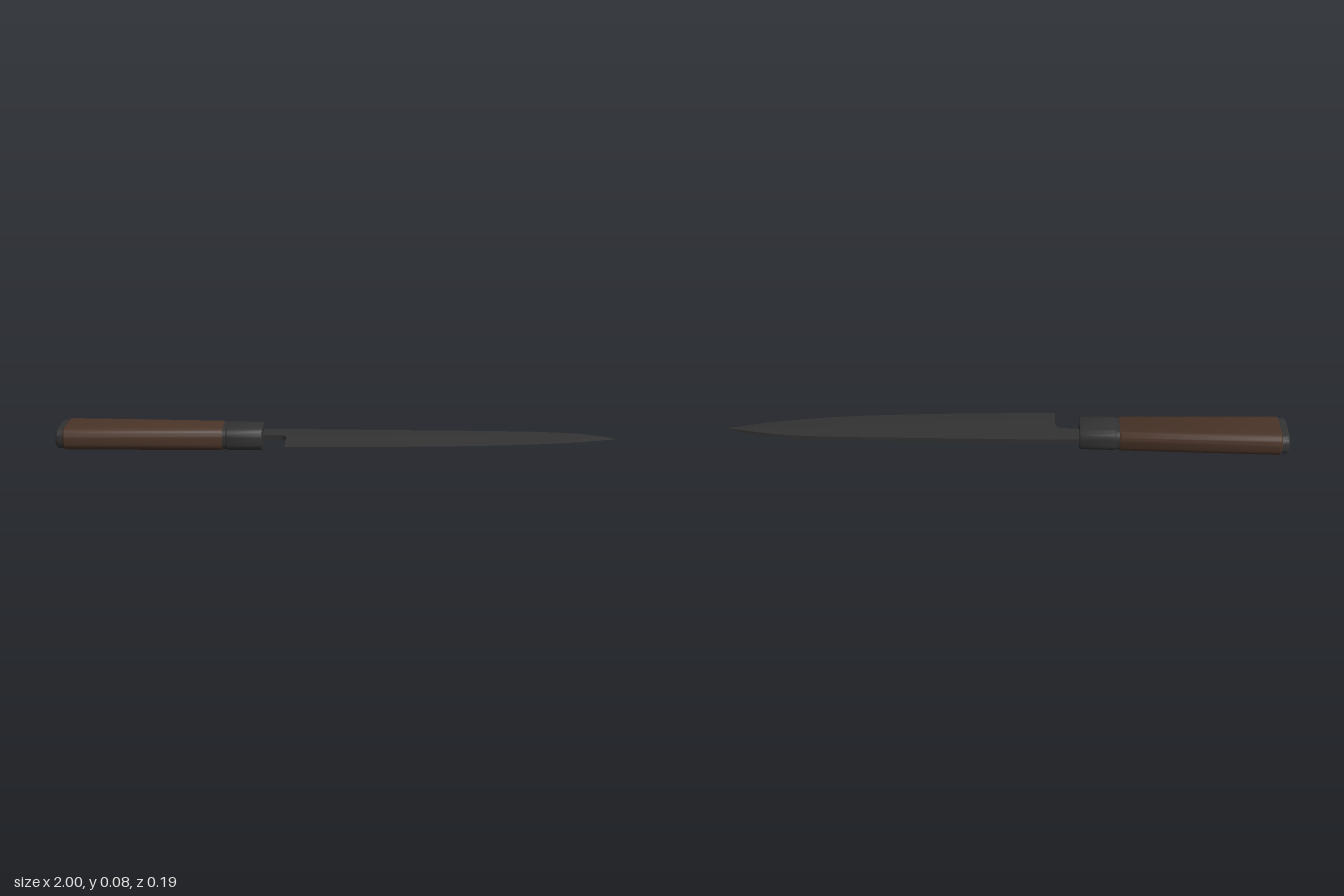
import * as THREE from 'three';
import { toCreasedNormals } from 'three/addons/utils/BufferGeometryUtils.js';

const MID_Y = 0.043;
const HANDLE_Z = -0.02;

// Skin a list of rings ([x, [[y, z], ...]]) running towards +x, closed at both ends
function loft(rings, crease) {
  const pos = [], index = [];
  const n = rings[0][1].length;
  for (const [x, pts] of rings) for (const [y, z] of pts) pos.push(x, y, z);
  for (let i = 0; i < rings.length - 1; i++) {
    for (let j = 0; j < n; j++) {
      const a = i * n + j, b = i * n + (j + 1) % n;
      index.push(a, b, a + n, b, b + n, a + n);
    }
  }
  const last = (rings.length - 1) * n;
  for (let j = 1; j < n - 1; j++) {
    index.push(0, j + 1, j, last, last + j, last + j + 1);
  }
  const geo = new THREE.BufferGeometry();
  geo.setAttribute('position', new THREE.Float32BufferAttribute(pos, 3));
  geo.setIndex(index);
  return toCreasedNormals(geo, crease);
}

// Rounded rectangle section of the handle: half width along z, half height along y
function handleRing(x, hz, hy, r) {
  const pts = [];
  const corners = [[1, 1], [-1, 1], [-1, -1], [1, -1]];
  corners.forEach(([sy, sz], k) => {
    for (let i = 0; i <= 6; i++) {
      const a = (k + i / 6) * Math.PI / 2;
      pts.push([MID_Y + sy * (hy - r) + r * Math.cos(a), HANDLE_Z + sz * (hz - r) + r * Math.sin(a)]);
    }
  });
  return [x, pts];
}

// Blade section: flat spine, flat cheeks, then a bevel down to the edge
function bladeRing(x, spine, edge, thick, edgeThick) {
  const bevel = THREE.MathUtils.lerp(spine, edge, 0.5);
  const cheek = THREE.MathUtils.lerp(thick, edgeThick, 0.15);
  return [x, [
    [MID_Y + thick, spine], [MID_Y + cheek, bevel], [MID_Y + edgeThick, edge],
    [MID_Y - edgeThick, edge], [MID_Y - cheek, bevel], [MID_Y - thick, spine],
  ]];
}

// Smooth curve through [x, z] points, sampled as z for a given x
function outline(points) {
  const curve = new THREE.CatmullRomCurve3(points.map(([x, z]) => new THREE.Vector3(x, 0, z)));
  const samples = curve.getPoints(200);
  return (x) => {
    const i = Math.max(1, samples.findIndex((p) => p.x >= x - 1e-6));
    const a = samples[i - 1], b = samples[i];
    return THREE.MathUtils.mapLinear(x, a.x, b.x, a.z, b.z);
  };
}

export function createModel() {
  const knife = new THREE.Group();
  knife.name = 'kitchenKnife';
  const dark = new THREE.MeshStandardMaterial({ color: 0x333333 });
  const wood = new THREE.MeshStandardMaterial({ color: 0x4a3428 });

  const add = (name, rings, material, crease = 0.6) => {
    const mesh = new THREE.Mesh(loft(rings, crease), material);
    mesh.name = name;
    knife.add(mesh);
  };

  // Handle, from butt cap to ferrule
  add('buttCap', [
    handleRing(-1, 0.071, 0.033, 0.028),
    handleRing(-0.994, 0.075, 0.037, 0.03),
    handleRing(-0.968, 0.076, 0.037, 0.03),
  ], dark);
  add('woodenGrip', [
    handleRing(-0.974, 0.076, 0.038, 0.03),
    handleRing(-0.969, 0.08, 0.042, 0.033),
    handleRing(-0.41, 0.0655, 0.042, 0.031),
    handleRing(-0.406, 0.063, 0.04, 0.03),
  ], wood);
  add('spacerRing', [
    handleRing(-0.408, 0.062, 0.039, 0.029),
    handleRing(-0.388, 0.061, 0.039, 0.029),
  ], dark);
  add('ferrule', [
    handleRing(-0.394, 0.061, 0.039, 0.029),
    handleRing(-0.39, 0.0635, 0.0415, 0.03),
    handleRing(-0.27, 0.061, 0.0415, 0.03),
    handleRing(-0.265, 0.058, 0.039, 0.028),
  ], dark);

  // Neck flaring into the heel, followed by the blade itself
  const spineAt = outline([[-0.18, -0.073], [0.2, -0.073], [0.6, -0.073], [0.75, -0.068],
    [0.88, -0.052], [0.96, -0.033], [1, -0.022]]);
  const edgeAt = outline([[-0.18, 0.095], [0.1, 0.087], [0.35, 0.075], [0.55, 0.06],
    [0.72, 0.04], [0.86, 0.015], [1, -0.022]]);
  const rings = [bladeRing(-0.3, -0.07, -0.005, 0.008, 0.008)];
  for (let i = 0; i <= 5; i++) {
    const a = i / 5 * Math.PI / 2;
    rings.push(bladeRing(-0.205 + 0.025 * Math.sin(a), -0.0715, 0.015 - 0.02 * Math.cos(a), 0.008, 0.008));
  }
  for (let i = 0; i <= 48; i++) {
    const x = -0.18 + 1.18 * i / 48;
    const thick = 0.008 * Math.min(1, (1 - x) / 0.12) ** 0.6;
    rings.push(bladeRing(x, spineAt(x), edgeAt(x), thick, 0.0003 * (1 - i / 48)));
  }
  add('blade', rings, dark, 0.35);

  return knife;
}
